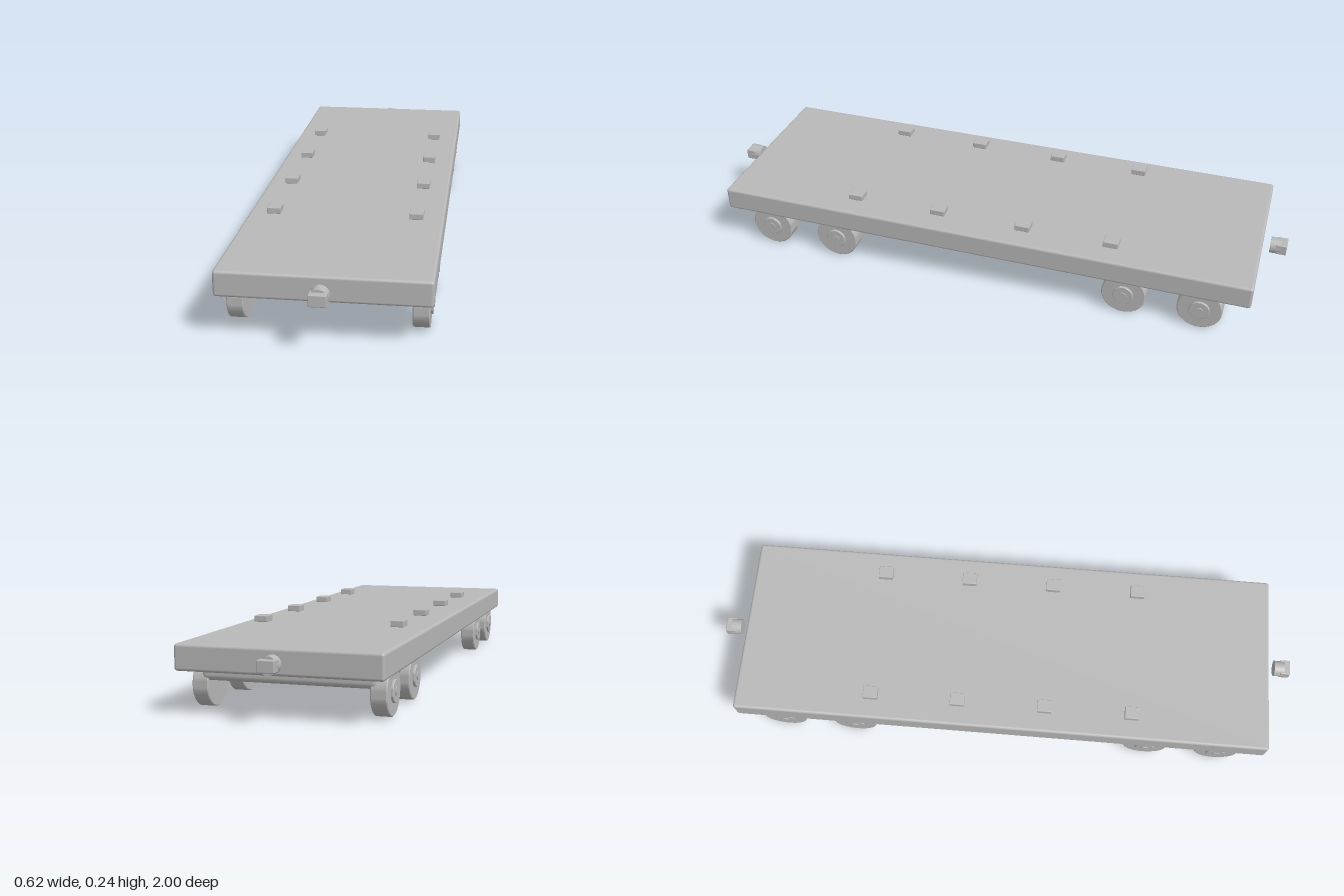
import * as THREE from 'three';
import { toCreasedNormals } from 'three/addons/utils/BufferGeometryUtils.js';
import { RoundedBoxGeometry } from 'three/addons/geometries/RoundedBoxGeometry.js';

export function createModel() {
  const model = new THREE.Group();
  model.name = 'flatWagon';
  const grey = new THREE.MeshStandardMaterial({ color: 0xb8b8b8 });
  grey.name = 'grey';

  const add = (name, geometry, x, y, z, parent = model) => {
    const mesh = new THREE.Mesh(geometry, grey);
    mesh.name = name;
    mesh.position.set(x, y, z);
    parent.add(mesh);
    return mesh;
  };

  // Long load bed with softened edges
  add('deck', new RoundedBoxGeometry(0.622, 0.079, 1.842, 3, 0.009), 0, 0.1675, 0);

  // Small blocks hovering just above the bed
  const cleat = new RoundedBoxGeometry(0.043, 0.02, 0.05, 2, 0.002);
  for (const x of [-0.226, 0.226])
    for (const z of [-0.45, -0.15, 0.15, 0.45]) add('cleat', cleat, x, 0.226, z);

  // Wheel, hub and cap turned in one profile, outer face towards +x
  const profile = [
    [0, 0.245], [0.071, 0.245], [0.074, 0.248], [0.074, 0.292], [0.071, 0.295],
    [0.034, 0.295], [0.034, 0.3], [0.032, 0.302], [0.013, 0.302], [0.013, 0.305], [0, 0.305],
  ].map(([r, h]) => new THREE.Vector2(r, h));
  const wheel = toCreasedNormals(new THREE.LatheGeometry(profile, 48), Math.PI / 6);
  wheel.rotateZ(-Math.PI / 2);

  const bogieFrame = new RoundedBoxGeometry(0.536, 0.08, 0.395, 4, 0.018);
  const couplerShank = new THREE.CylinderGeometry(0.027, 0.027, 0.035, 24).rotateX(Math.PI / 2);
  const couplerBlock = new RoundedBoxGeometry(0.052, 0.036, 0.035, 2, 0.003);

  for (const end of [1, -1]) {
    // Bogie with two pairs of wheels
    const bogie = new THREE.Group();
    bogie.name = end > 0 ? 'frontBogie' : 'rearBogie';
    bogie.position.z = end * 0.638;
    model.add(bogie);
    add('bogieFrame', bogieFrame, 0, 0.128, 0, bogie);
    for (const z of [-0.125, 0.125])
      for (const turn of [0, Math.PI])
        add(turn ? 'rightWheel' : 'leftWheel', wheel, 0, 0.0745, z, bogie).rotation.y = turn;

    // Coupler standing clear of the deck end
    const coupler = new THREE.Group();
    coupler.name = end > 0 ? 'frontCoupler' : 'rearCoupler';
    model.add(coupler);
    add('couplerShank', couplerShank, 0, 0.167, end * 0.9625, coupler);
    add('couplerBlock', couplerBlock, 0, 0.168, end * 0.9825, coupler);
  }
  return model;
}
